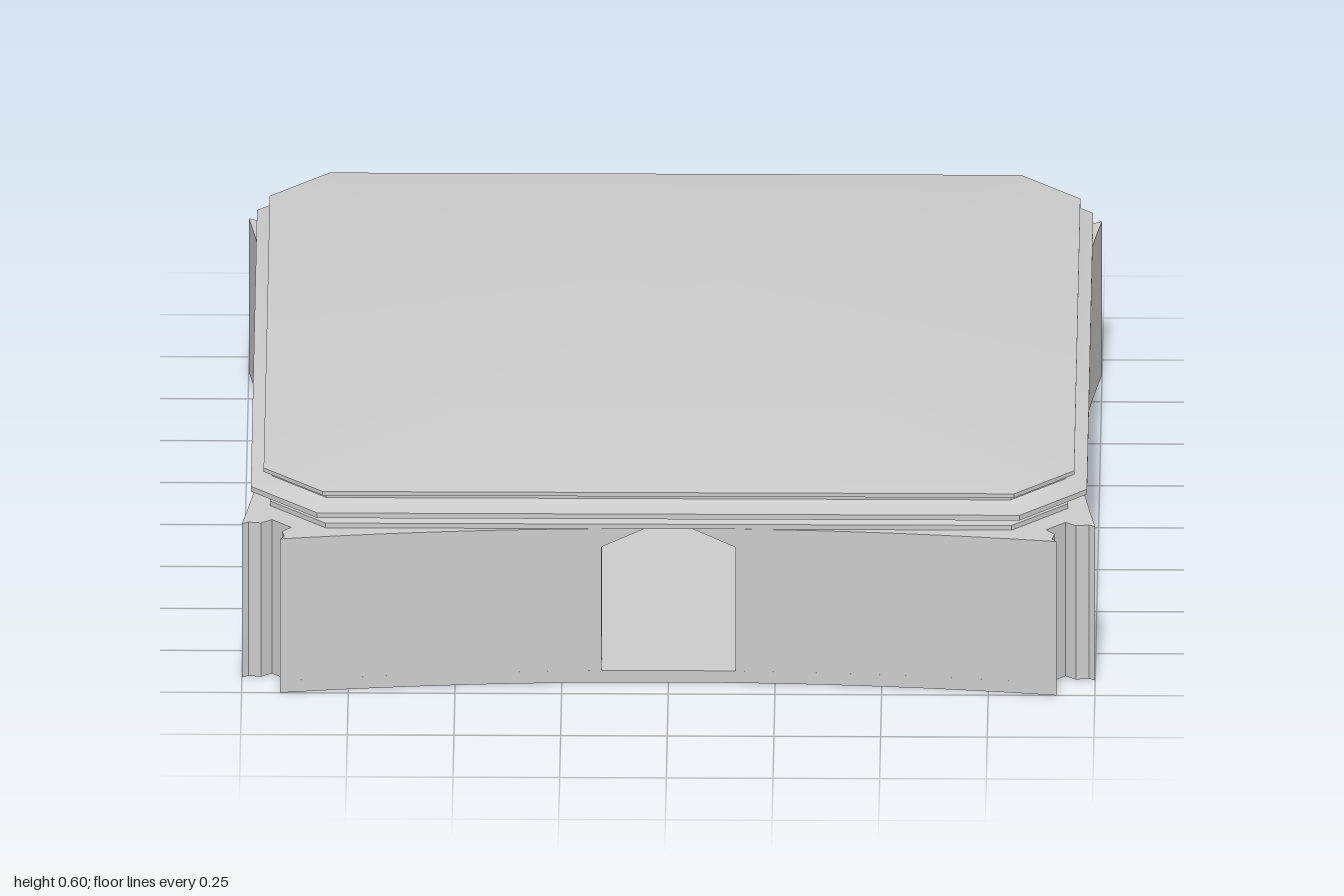
import * as THREE from 'three';
import { toCreasedNormals } from 'three/addons/utils/BufferGeometryUtils.js';

const material = new THREE.MeshStandardMaterial({ color: 0xcccccc, side: THREE.DoubleSide });
const TIP = 0.91, INNER = 0.86, DOOR = 0.157, FLOOR = 0.03, WALL_TOP = 0.392;

// Distance of the bowed-in outer wall face from the centre, at position t along it
const bow = (t) => 0.93 + 0.07 * (t / TIP) ** 2;

function add(parent, name, geometry) {
  const mesh = new THREE.Mesh(toCreasedNormals(geometry, 0.4), material);
  mesh.name = name;
  parent.add(mesh);
  return mesh;
}

// Plan points of one wall face from t = a to b, for the +y side
function face(a, b, n = 24) {
  return Array.from({ length: n + 1 }, (_, i) => {
    const t = a + (b - a) * i / n;
    return [t, bow(t)];
  });
}

// Notch between the two flared horns of a corner
const notch = [[0.9, 0.985], [0.905, 0.955], [0.885, 0.93], [0.93, 0.885], [0.955, 0.905], [0.985, 0.9]];

// Turn plan points clockwise by k quarter turns
const turn = (points, k) => points.map(([x, y]) => {
  for (let i = 0; i < k; i++) [x, y] = [y, -x];
  return [x, y];
});

// Upright extrusion of a plan outline between two heights
function slab(points, y0, y1) {
  const shape = new THREE.Shape(points.map(([x, y]) => new THREE.Vector2(x, y)));
  const geometry = new THREE.ExtrudeGeometry(shape, { depth: y1 - y0, bevelEnabled: false });
  return geometry.rotateX(-Math.PI / 2).translate(0, y0, 0);
}

// Chamfered-square rings [half width, height], joined from bottom to top
function chamferedLoft(rings) {
  const loops = rings.map(([h, y]) => {
    const c = h > 0 ? 0.825 + (h - 0.985) * 0.414 : 0;
    return [[c, h], [h, c], [h, -c], [c, -h], [-c, -h], [-h, -c], [-h, c], [-c, h]]
      .map(([x, z]) => [x, y, z]);
  });
  const positions = [];
  for (let i = 0; i < loops.length - 1; i++) {
    for (let j = 0; j < 8; j++) {
      const k = (j + 1) % 8;
      const a = loops[i][j], b = loops[i][k], c = loops[i + 1][k], d = loops[i + 1][j];
      if (rings[i][0] > 0) positions.push(...a, ...b, ...c);
      if (rings[i + 1][0] > 0) positions.push(...a, ...c, ...d);
    }
  }
  const geometry = new THREE.BufferGeometry();
  geometry.setAttribute('position', new THREE.Float32BufferAttribute(positions, 3));
  return geometry;
}

export function createModel() {
  const model = new THREE.Group();
  model.name = 'pavilion';

  // Floor with the full plan outline
  const outline = [];
  for (let k = 0; k < 4; k++) outline.push(...turn([...face(-TIP, TIP), ...notch], k));
  add(model, 'floor', slab(outline, 0, FLOOR));

  // Two C-shaped wall halves, leaving a doorway at front and back
  const half = [
    ...face(DOOR, TIP, 14), ...notch,
    ...turn([...face(-TIP, TIP), ...notch], 1),
    ...turn(face(-TIP, -DOOR, 14), 2),
    [DOOR, -INNER], [INNER, -INNER], [INNER, INNER], [DOOR, INNER],
  ];
  for (const [side, name] of [[0, 'leftWall'], [1, 'rightWall']]) {
    add(model, name, slab(turn(half, side * 2), FLOOR, WALL_TOP));
  }

  // Sloped corners at the top of each doorway
  for (const end of [1, -1]) {
    for (const s of [1, -1]) {
      const wedge = new THREE.Shape([
        new THREE.Vector2(s * DOOR, 0.345),
        new THREE.Vector2(s * DOOR, WALL_TOP),
        new THREE.Vector2(s * 0.055, WALL_TOP),
      ]);
      const geometry = new THREE.ExtrudeGeometry(wedge, { depth: 0.071, bevelEnabled: false });
      geometry.translate(0, 0, end > 0 ? INNER : -INNER - 0.071);
      add(model, 'doorwayCorner', geometry);
    }
  }

  // Stepped cornice, closed underneath by the ceiling
  add(model, 'cornice', chamferedLoft([
    [0, 0.393], [0.935, 0.393], [0.935, 0.405], [0.91, 0.412], [0.91, 0.426],
    [0.98, 0.437], [0.98, 0.45], [0.945, 0.46], [0.93, 0.468], [0.93, 0.478],
    [0.95, 0.482], [0.95, 0.492],
  ]));

  // Low pyramid roof
  add(model, 'roof', chamferedLoft([[0.95, 0.492], [0, 0.6]]));

  return model;
}
